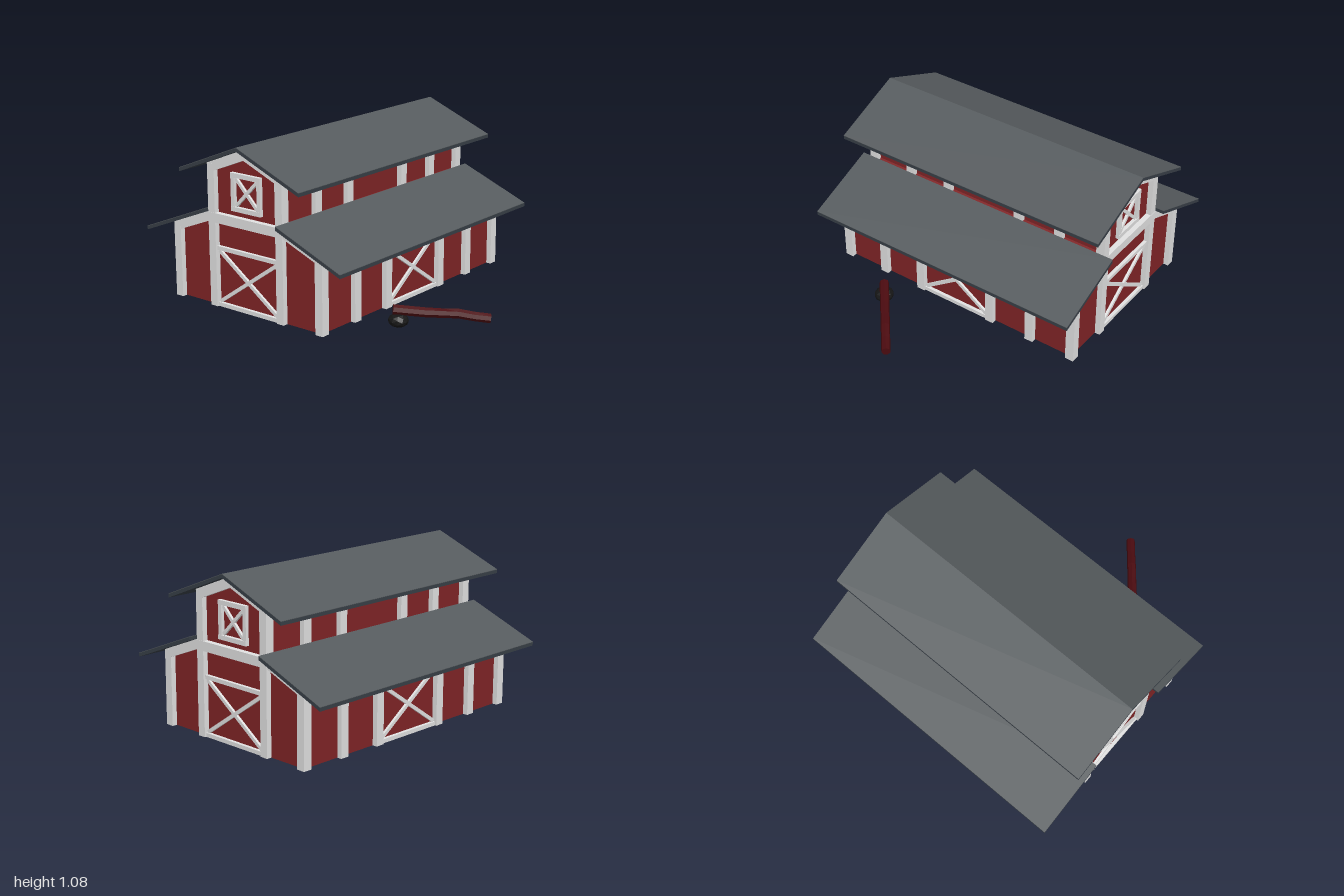
import * as THREE from 'three';

const mat = (name, color, extra = {}) => {
  const m = new THREE.MeshStandardMaterial({ color, ...extra });
  m.name = name;
  return m;
};

export function createModel() {
  const red = mat('barnRed', 0x7f2426);
  const white = mat('trimWhite', 0xe0e0e0);
  const roofTop = mat('roofGrey', 0x565b5e);
  const roofEdge = mat('roofEdgeSlate', 0x373e46);
  const logRed = mat('logDarkRed', 0x4c0b10, { flatShading: true });
  const black = mat('stoneBlack', 0x161616, { flatShading: true });

  const model = new THREE.Group();
  const barn = new THREE.Group();
  barn.name = 'barn';
  barn.position.x = -0.222;
  model.add(barn);

  const add = (parent, name, geo, material) => {
    const m = new THREE.Mesh(geo, material);
    m.name = name;
    parent.add(m);
    return m;
  };
  const box = (parent, name, w, h, d, x, y, z, material = white) => {
    const m = add(parent, name, new THREE.BoxGeometry(w, h, d), material);
    m.position.set(x, y, z);
    return m;
  };
  // Outline in x and y, extruded from z0 to z1
  const prism = (parent, name, pts, z0, z1, material) => {
    const shape = new THREE.Shape(pts.map(([x, y]) => new THREE.Vector2(x, y)));
    const geo = new THREE.ExtrudeGeometry(shape, { depth: z1 - z0, bevelEnabled: false });
    geo.translate(0, 0, z0);
    return add(parent, name, geo, material);
  };
  // Sloped band between two points with plumb ends
  const band = (name, x0, y0, x1, y1, t, z0, z1, material) =>
    prism(barn, name, [[x0, y0 - t], [x1, y1 - t], [x1, y1], [x0, y0]], z0, z1, material);

  // Walls with the raised centre section
  const half = [[0.565, 0.035], [0.565, 0.525], [0.265, 0.645], [0.265, 0.945]];
  prism(barn, 'walls',
    [...half, [0, 1.05], ...half.map(([x, y]) => [-x, y]).reverse()], -0.865, 0.865, red);

  // Roof slabs: dark body with a lighter covering on top
  for (const s of [-1, 1]) {
    for (const [name, x0, y0, x1, y1] of [
      ['upperRoof', 0, 1.08, 0.478, 0.888],
      ['lowerRoof', 0.298, 0.658, 0.778, 0.466],
    ]) {
      band(name, s * x0, y0 - 0.003, s * x1, y1 - 0.003, 0.022, -0.957, 0.957, roofEdge);
      band(name + 'Covering', s * x0, y0, s * x1, y1, 0.003, -0.957, 0.957, roofTop);
    }
  }

  // Posts, eave beams and gable trim
  for (const s of [-1, 1]) {
    for (const z of [-0.87, -0.57, -0.27, 0.27, 0.57, 0.87]) {
      box(barn, 'outerPost', 0.055, 0.48, 0.058, s * 0.5705, 0.275, z);
      const atEnd = Math.abs(z) > 0.8;
      const bottom = atEnd ? 0.035 : 0.6;
      box(barn, 'innerPost', 0.055, 0.935 - bottom, 0.058, s * 0.2705, (0.935 + bottom) / 2, z);
    }
    box(barn, 'lowerEaveBeam', 0.04, 0.06, 1.78, s * 0.57, 0.485, 0);
    box(barn, 'upperEaveBeam', 0.04, 0.06, 1.78, s * 0.27, 0.905, 0);
    for (const e of [-1, 1]) {
      const z0 = e > 0 ? 0.85 : -0.898, z1 = e > 0 ? 0.898 : -0.85;
      band('upperGableTrim', 0, 1.054, s * 0.298, 0.935, 0.064, z0, z1, white);
      band('lowerGableTrim', s * 0.298, 0.633, s * 0.598, 0.514, 0.062, z0, z1, white);
    }
  }
  for (const e of [-1, 1]) {
    box(barn, 'crossBeam', 0.596, 0.06, 0.052, 0, 0.6, e * 0.875);
  }

  // Crossed bars filling a w by h opening
  const cross = (parent, w, h, y, t) => {
    const angle = Math.atan2(h, w);
    for (const s of [-1, 1]) {
      const b = box(parent, 'diagonalBar', Math.hypot(w, h) - t, t, 0.016, 0, y, 0.008);
      b.rotation.z = s * angle;
    }
  };
  const door = () => {
    const g = new THREE.Group();
    g.name = 'door';
    box(g, 'doorTopBar', 0.486, 0.025, 0.022, 0, 0.408, 0.011);
    box(g, 'doorBottomBar', 0.486, 0.025, 0.022, 0, 0.0475, 0.011);
    cross(g, 0.486, 0.336, 0.228, 0.022);
    return g;
  };
  const loftWindow = () => {
    const g = new THREE.Group();
    g.name = 'loftWindow';
    for (const s of [-1, 1]) {
      box(g, 'windowRail', 0.236, 0.028, 0.024, 0, 0.782 + s * 0.104, 0.012);
      box(g, 'windowStile', 0.028, 0.18, 0.022, s * 0.104, 0.782, 0.011);
    }
    cross(g, 0.18, 0.18, 0.782, 0.02);
    return g;
  };

  // A door on every side, a loft window on both gables
  for (let i = 0; i < 4; i++) {
    const a = i * Math.PI / 2;
    const dist = i % 2 ? 0.565 : 0.865;
    for (const part of i % 2 ? [door()] : [door(), loftWindow()]) {
      part.rotation.y = a;
      part.position.set(Math.sin(a) * dist, 0, Math.cos(a) * dist);
      barn.add(part);
    }
  }

  // Rough log leaning on a dark stone
  const start = new THREE.Vector3(0.535, 0.112, 0.44);
  const end = new THREE.Vector3(0.98, 0.048, 0.065);
  const dir = end.clone().sub(start);
  const logGeo = new THREE.CylinderGeometry(0.029, 0.031, dir.length(), 7, 6);
  const p = logGeo.attributes.position;
  for (let i = 0; i < p.count; i++) {
    const t = p.getY(i) / dir.length() + 0.5;
    const k = 1 + 0.1 * Math.sin(t * 19);
    p.setX(i, p.getX(i) * k);
    p.setZ(i, p.getZ(i) * k);
  }
  logGeo.applyQuaternion(new THREE.Quaternion().setFromUnitVectors(
    new THREE.Vector3(0, 1, 0), dir.clone().normalize()));
  for (let i = 0; i < p.count; i++) {
    const t = p.getX(i) / dir.x + 0.5;
    p.setY(i, p.getY(i) + 0.012 * Math.exp(-Math.pow((t - 0.66) / 0.15, 2)));
  }
  logGeo.computeVertexNormals();
  add(model, 'log', logGeo, logRed).position.copy(start).add(end).multiplyScalar(0.5);

  const stone = add(model, 'stone', new THREE.IcosahedronGeometry(1, 1), black);
  stone.scale.set(0.064, 0.043, 0.062);
  stone.position.set(0.562, 0.044, 0.422);

  return model;
}
